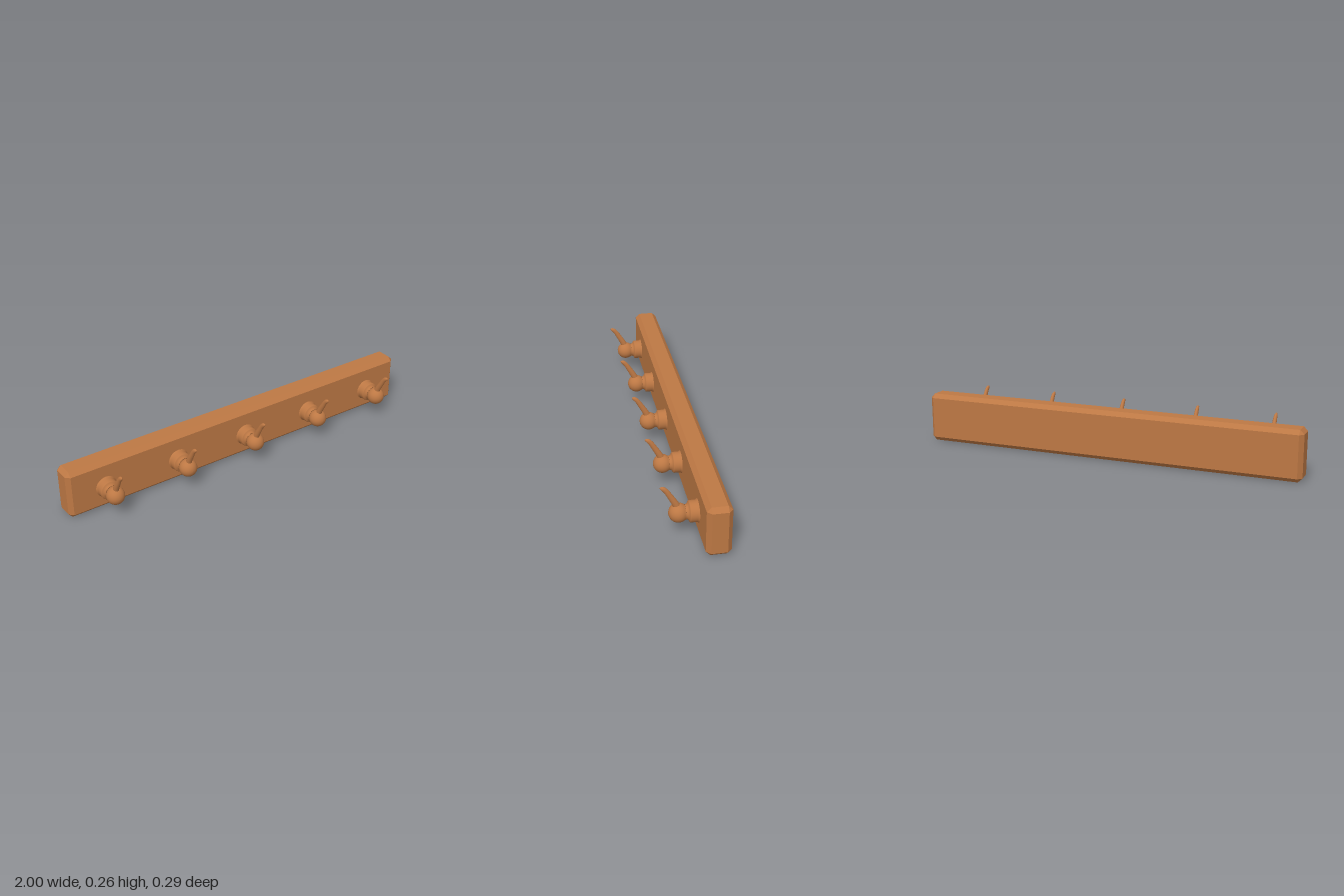
import * as THREE from 'three';
import { ConvexGeometry } from 'three/addons/geometries/ConvexGeometry.js';

const wood = new THREE.MeshStandardMaterial({ color: 0xbd7844 });
wood.name = 'wood';

// Box with every edge chamfered by c
function chamferedBox(w, h, d, c) {
  const pts = [];
  for (const sx of [-1, 1]) for (const sy of [-1, 1]) for (const sz of [-1, 1]) {
    const [x, y, z] = [w / 2, h / 2, d / 2];
    pts.push(
      new THREE.Vector3(sx * x, sy * (y - c), sz * (z - c)),
      new THREE.Vector3(sx * (x - c), sy * y, sz * (z - c)),
      new THREE.Vector3(sx * (x - c), sy * (y - c), sz * z));
  }
  return new ConvexGeometry(pts);
}

// Turned mount: flange, neck and ball, as [radius, z]
function pegGeometry() {
  const profile = [
    [0.057, -0.034], [0.055, -0.029], [0.0515, -0.025], [0.05, -0.02],
    [0.05, 0.006], [0.049, 0.010], [0.046, 0.0125], [0.041, 0.0145],
    [0.0365, 0.019], [0.0345, 0.024], [0.0355, 0.029],
  ];
  const ballZ = 0.059, ballR = 0.045;
  for (let i = 0; i <= 12; i++) {
    const a = 2.3 * (1 - i / 12);
    profile.push([ballR * Math.sin(a), ballZ + ballR * Math.cos(a)]);
  }
  const points = profile.map(([r, z]) => new THREE.Vector2(Math.max(r, 0), z));
  return new THREE.LatheGeometry(points, 32).rotateX(Math.PI / 2);
}

// Curved, tapering horn: an upright cylinder bent along a curve in the yz plane
function hornGeometry() {
  const path = new THREE.CatmullRomCurve3([
    [0.128, 0.06], [0.157, 0.069], [0.18, 0.081], [0.207, 0.097],
    [0.233, 0.113], [0.248, 0.127], [0.2555, 0.142],
  ].map(([y, z]) => new THREE.Vector3(0, y, z)));
  const g = new THREE.CylinderGeometry(1, 1, 1, 16, 20);
  const p = g.attributes.position;
  const side = new THREE.Vector3(1, 0, 0);
  for (let i = 0; i < p.count; i++) {
    const t = THREE.MathUtils.clamp(p.getY(i) + 0.5, 0, 1);
    const round = Math.sqrt(Math.max(0.06, 1 - Math.max(0, (t - 0.86) / 0.14) ** 2));
    const depth = (0.0175 - 0.0075 * t) * round;
    const width = (0.0155 - 0.008 * t) * round;
    const outward = side.clone().cross(path.getTangentAt(t));
    const v = path.getPointAt(t)
      .addScaledVector(outward, p.getZ(i) * depth)
      .addScaledVector(side, p.getX(i) * width);
    p.setXYZ(i, v.x, v.y, v.z);
  }
  g.computeVertexNormals();
  return g;
}

export function createModel() {
  const model = new THREE.Group();
  model.name = 'coatRack';
  const add = (parent, name, geometry) => {
    const mesh = new THREE.Mesh(geometry, wood);
    mesh.name = name;
    parent.add(mesh);
    return mesh;
  };

  // Backboard
  add(model, 'backboard', chamferedBox(2, 0.253, 0.116, 0.021)).position.set(0, 0.1265, -0.087);

  // Five evenly spaced hooks
  const peg = pegGeometry();
  const horn = hornGeometry();
  for (let i = -2; i <= 2; i++) {
    const hook = new THREE.Group();
    hook.name = 'hook';
    hook.position.x = i * 0.401;
    add(hook, 'peg', peg).position.y = 0.115;
    add(hook, 'horn', horn);
    model.add(hook);
  }
  return model;
}
